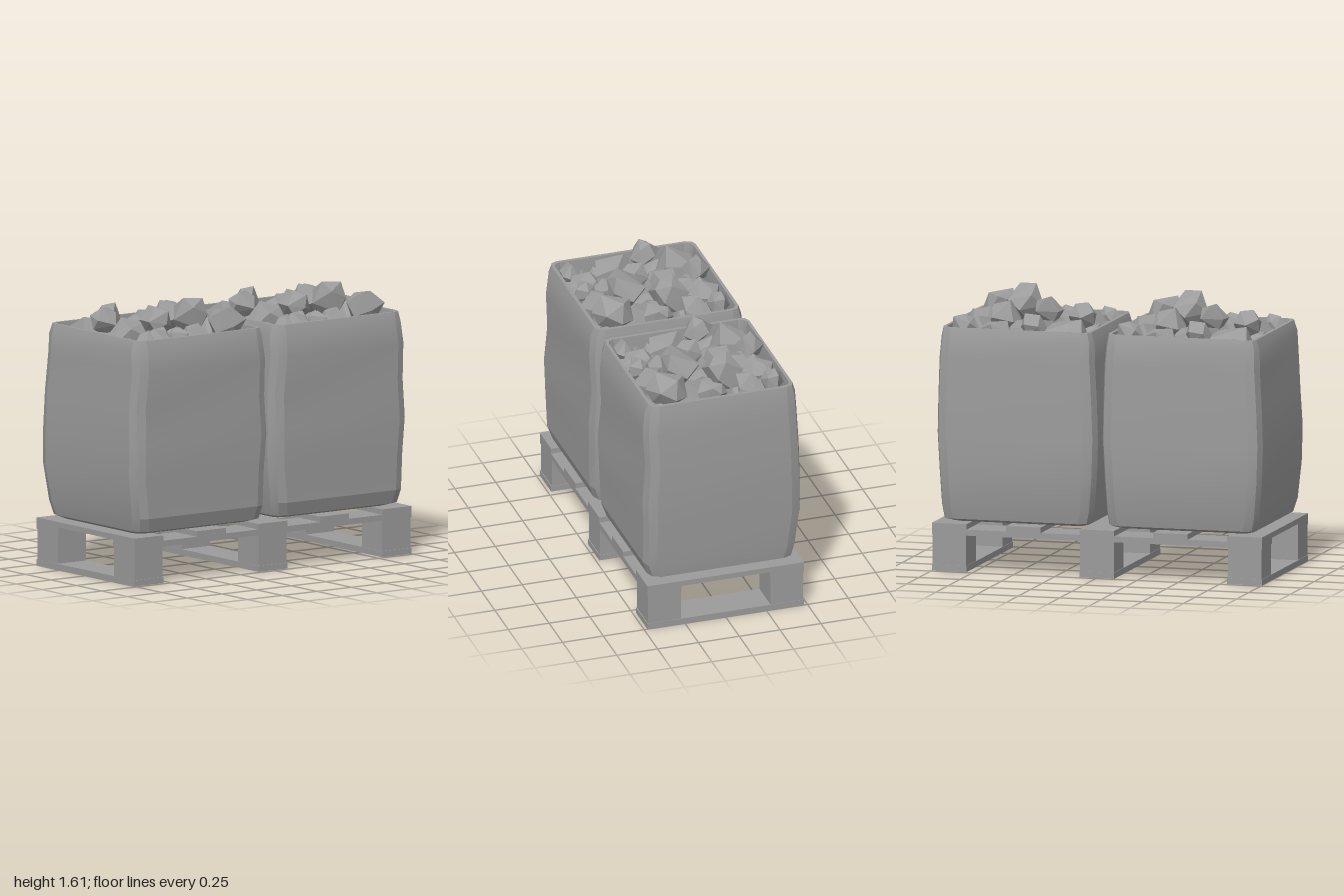
import * as THREE from 'three';
import { ConvexGeometry } from 'three/addons/geometries/ConvexGeometry.js';
import { toCreasedNormals } from 'three/addons/utils/BufferGeometryUtils.js';

const grey = 0x9b9b9b;
const material = new THREE.MeshStandardMaterial({ color: grey, flatShading: true });
const bagMaterial = new THREE.MeshStandardMaterial({ color: grey, side: THREE.DoubleSide });

// Small seeded generator for the rock shapes
function seeded(seed) {
  let s = seed;
  return () => (s = (s * 16807) % 2147483647) / 2147483647;
}

function box(parent, name, x0, x1, y0, y1, z0, z1) {
  const mesh = new THREE.Mesh(new THREE.BoxGeometry(x1 - x0, y1 - y0, z1 - z0), material);
  mesh.name = name;
  mesh.position.set((x0 + x1) / 2, (y0 + y1) / 2, (z0 + z1) / 2);
  parent.add(mesh);
}

function createPallet() {
  const pallet = new THREE.Group();
  pallet.name = 'pallet';
  for (const z of [-0.895, 0, 0.895]) {
    box(pallet, 'baseBoard', -0.48, 0.48, 0, 0.035, z - 0.105, z + 0.105);
    for (const x of [-0.375, 0.375]) {
      box(pallet, 'block', x - 0.1, x + 0.1, 0.035, 0.215, z - 0.102, z + 0.102);
    }
  }
  for (const x of [-0.375, 0.375]) {
    box(pallet, 'stringerBoard', x - 0.105, x + 0.105, 0.215, 0.25, -1, 1);
  }
  for (const z of [-0.895, -0.445, 0, 0.445, 0.895]) {
    box(pallet, 'deckBoard', -0.48, 0.48, 0.25, 0.282, z - 0.105, z + 0.105);
  }
  return pallet;
}

// Bag cross-sections: y, left and right x, back and front z, corner size
const bagSections = [
  [0.285, -0.38, 0.38, -0.41, 0.40, 0.06],
  [0.305, -0.44, 0.445, -0.455, 0.44, 0.07],
  [0.385, -0.458, 0.472, -0.465, 0.46, 0.07],
  [0.60, -0.485, 0.475, -0.472, 0.483, 0.07],
  [0.81, -0.48, 0.482, -0.485, 0.487, 0.07],
  [1.03, -0.475, 0.465, -0.482, 0.478, 0.07],
  [1.25, -0.463, 0.478, -0.478, 0.463, 0.07],
  [1.37, -0.457, 0.465, -0.468, 0.46, 0.07],
  [1.43, -0.438, 0.445, -0.455, 0.44, 0.05],
  // rim, folded inward, and lining down to the filled level
  [1.43, -0.42, 0.425, -0.435, 0.42, 0.04],
  [1.38, -0.415, 0.42, -0.43, 0.415, 0.04],
  [1.30, -0.415, 0.42, -0.43, 0.415, 0.04],
];

// The bag is a hollow sleeve, open below, with a bed under the rocks
function createBag() {
  const positions = [], index = [], n = 12;
  for (const [y, x0, x1, z0, z1, c] of bagSections) {
    const k = c * 0.28;
    const ring = [
      [x1, z1 - c], [x1 - k, z1 - k], [x1 - c, z1],
      [x0 + c, z1], [x0 + k, z1 - k], [x0, z1 - c],
      [x0, z0 + c], [x0 + k, z0 + k], [x0 + c, z0],
      [x1 - c, z0], [x1 - k, z0 + k], [x1, z0 + c],
    ];
    for (const [x, z] of ring) positions.push(x, y, z);
  }
  const last = (bagSections.length - 1) * n;
  for (let r = 0; r < last; r += n) {
    for (let i = 0; i < n; i++) {
      const a = r + i, b = r + (i + 1) % n;
      index.push(a, a + n, b, b, a + n, b + n);
    }
  }
  for (let i = 1; i < n - 1; i++) index.push(last, last + i + 1, last + i);
  const geometry = new THREE.BufferGeometry();
  geometry.setAttribute('position', new THREE.Float32BufferAttribute(positions, 3));
  geometry.setIndex(index);
  const bag = new THREE.Mesh(toCreasedNormals(geometry, 0.3), bagMaterial);
  bag.name = 'bag';
  return bag;
}

// Upper rocks: x, z, radius, top height
const rocks = [
  [-0.34, -0.34, 0.08, 1.50], [-0.20, -0.30, 0.11, 1.47],
  [0.03, -0.35, 0.09, 1.48], [0.16, -0.29, 0.10, 1.48],
  [0.30, -0.31, 0.115, 1.55], [-0.31, -0.17, 0.11, 1.46],
  [-0.08, -0.17, 0.115, 1.55], [0.17, -0.13, 0.12, 1.61],
  [0.31, -0.05, 0.115, 1.47], [-0.20, -0.04, 0.12, 1.46],
  [-0.34, 0.08, 0.085, 1.52], [-0.14, 0.08, 0.11, 1.46],
  [0.07, 0.04, 0.095, 1.555], [0.35, 0.08, 0.07, 1.47],
  [0.20, 0.15, 0.11, 1.46], [-0.26, 0.25, 0.15, 1.48],
  [-0.09, 0.30, 0.09, 1.555], [0.10, 0.27, 0.13, 1.50],
  [0.30, 0.19, 0.11, 1.46], [0.35, 0.33, 0.07, 1.47],
];
// Lower layer filling the gaps
for (let i = 0; i < 5; i++) {
  for (let j = 0; j < 5; j++) {
    rocks.push([(i - 2) * 0.155, (j - 2) * 0.158 - 0.005, 0.11, 1.40 + 0.012 * ((i * 2 + j) % 3)]);
  }
}

function createRocks() {
  const group = new THREE.Group();
  group.name = 'rocks';
  const random = seeded(4711);
  const count = 12;
  for (const [x, z, radius, top] of rocks) {
    const points = [];
    for (let i = 0; i < count; i++) {
      const h = 1 - (2 * i + 1) / count;
      const angle = i * 2.4 + random() * 0.8;
      const s = Math.sqrt(1 - h * h), r = radius * (0.88 + 0.26 * random());
      points.push(new THREE.Vector3(Math.cos(angle) * s * r, h * r, Math.sin(angle) * s * r));
    }
    // Tumble each rock, rest its peak at the given height and keep it inside the lining
    const turn = new THREE.Euler(random() * 6, random() * 6, random() * 6);
    points.forEach((p) => p.applyEuler(turn));
    const peak = Math.max(...points.map((p) => p.y));
    for (const p of points) {
      p.x = THREE.MathUtils.clamp(p.x, -0.41 - x, 0.415 - x);
      p.z = THREE.MathUtils.clamp(p.z, -0.42 - z, 0.405 - z);
    }
    const rock = new THREE.Mesh(new ConvexGeometry(points), material);
    rock.name = 'rock';
    rock.position.set(x, top - peak, z);
    group.add(rock);
  }
  return group;
}

export function createModel() {
  const model = new THREE.Group();
  model.name = 'palletWithRockBags';
  model.add(createPallet());
  for (const z of [0.5, -0.5]) {
    const filledBag = new THREE.Group();
    filledBag.name = z > 0 ? 'frontBag' : 'backBag';
    filledBag.add(createBag(), createRocks());
    filledBag.position.z = z;
    model.add(filledBag);
  }
  return model;
}
